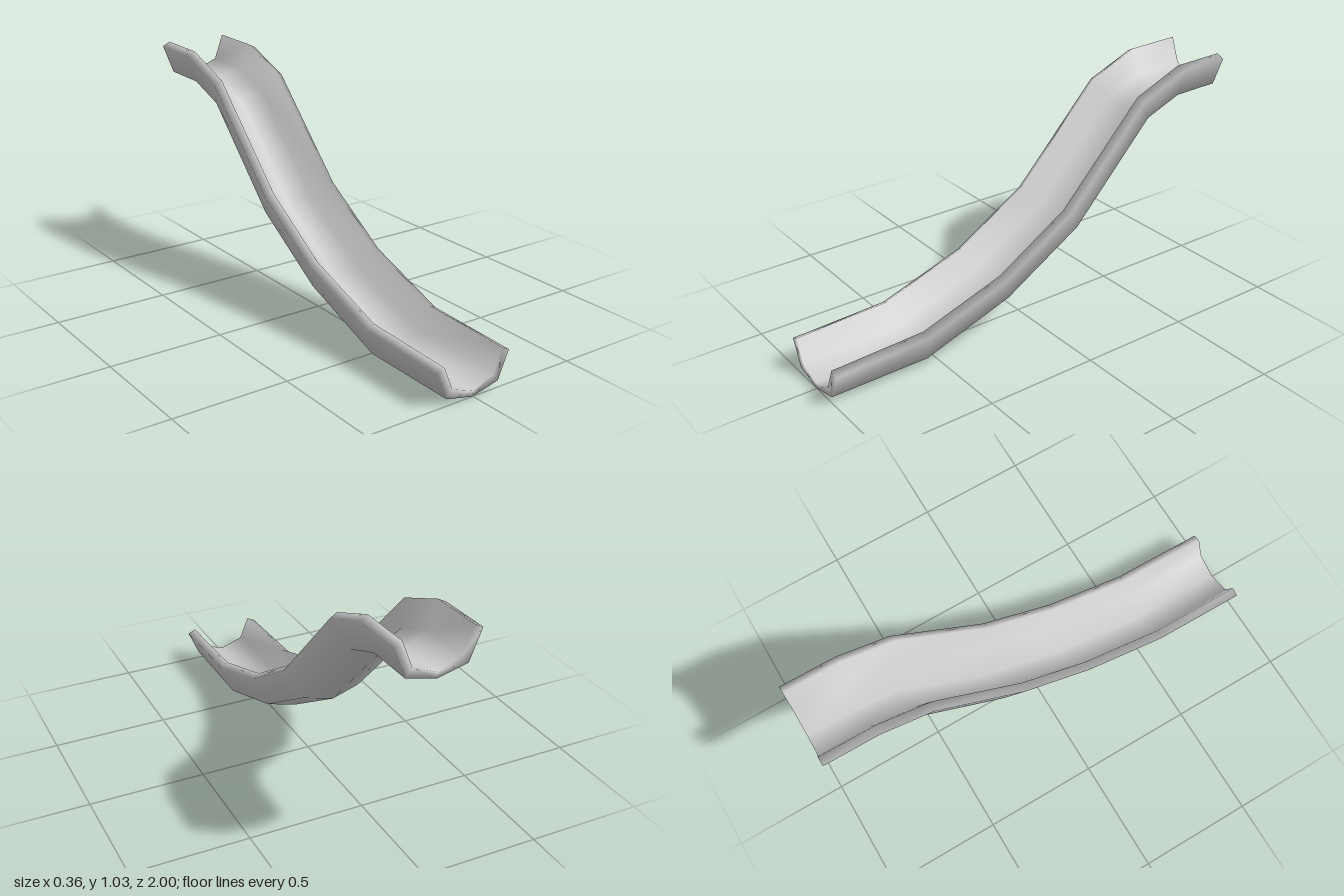
import * as THREE from 'three';

export function createModel() {
  const group = new THREE.Group();
  group.name = 'slide';
  const plastic = new THREE.MeshStandardMaterial({ color: 0xcccccc });
  plastic.name = 'light grey plastic';

  // Trough cross-section: [x, height from underside (0) to rim (1)],
  // running down the outer wall, up the other side and back along the inside
  const profile = [
    [-0.178, 0.9], [-0.128, 0.18], [0, 0], [0.128, 0.18], [0.178, 0.9],
    [0.143, 1], [0.101, 0.38], [0, 0.15], [-0.101, 0.38], [-0.143, 1],
  ];

  // Stations from the foot to the top: [rim z, rim y, underside z, underside y, sideways drift]
  const stations = [
    [1, 0.163, 1, 0.002, -0.003],
    [0.58, 0.18, 0.55, 0.003, -0.003],
    [0.2, 0.31, 0.13, 0.15, 0],
    [-0.13, 0.515, -0.24, 0.375, 0.003],
    [-0.53, 0.93, -0.63, 0.785, -0.002],
    [-0.76, 1.022, -0.79, 0.845, -0.004],
    [-1, 1.028, -1, 0.85, -0.004],
  ];

  const n = profile.length;
  const positions = [];
  const index = [];
  const quad = (a, b, c, d) => index.push(a, b, c, a, c, d);

  stations.forEach(([rimZ, rimY, lowZ, lowY, drift], s) => {
    for (const [x, v] of profile) {
      positions.push(
        x + drift,
        THREE.MathUtils.lerp(lowY, rimY, v),
        THREE.MathUtils.lerp(lowZ, rimZ, v),
      );
    }
    if (s === 0) return;
    const front = (s - 1) * n;
    const back = s * n;
    for (let i = 0; i < n; i++) {
      const j = (i + 1) % n;
      quad(front + i, back + i, back + j, front + j);
    }
  });

  // Close the wall thickness at both ends
  const last = (stations.length - 1) * n;
  for (let i = 0; i < 4; i++) {
    quad(i, i + 1, 8 - i, 9 - i);
    quad(last + i, last + 9 - i, last + 8 - i, last + i + 1);
  }

  const geometry = new THREE.BufferGeometry();
  geometry.setAttribute('position', new THREE.Float32BufferAttribute(positions, 3));
  geometry.setIndex(index);
  geometry.computeVertexNormals();

  const chute = new THREE.Mesh(geometry, plastic);
  chute.name = 'chute';
  group.add(chute);
  return group;
}
